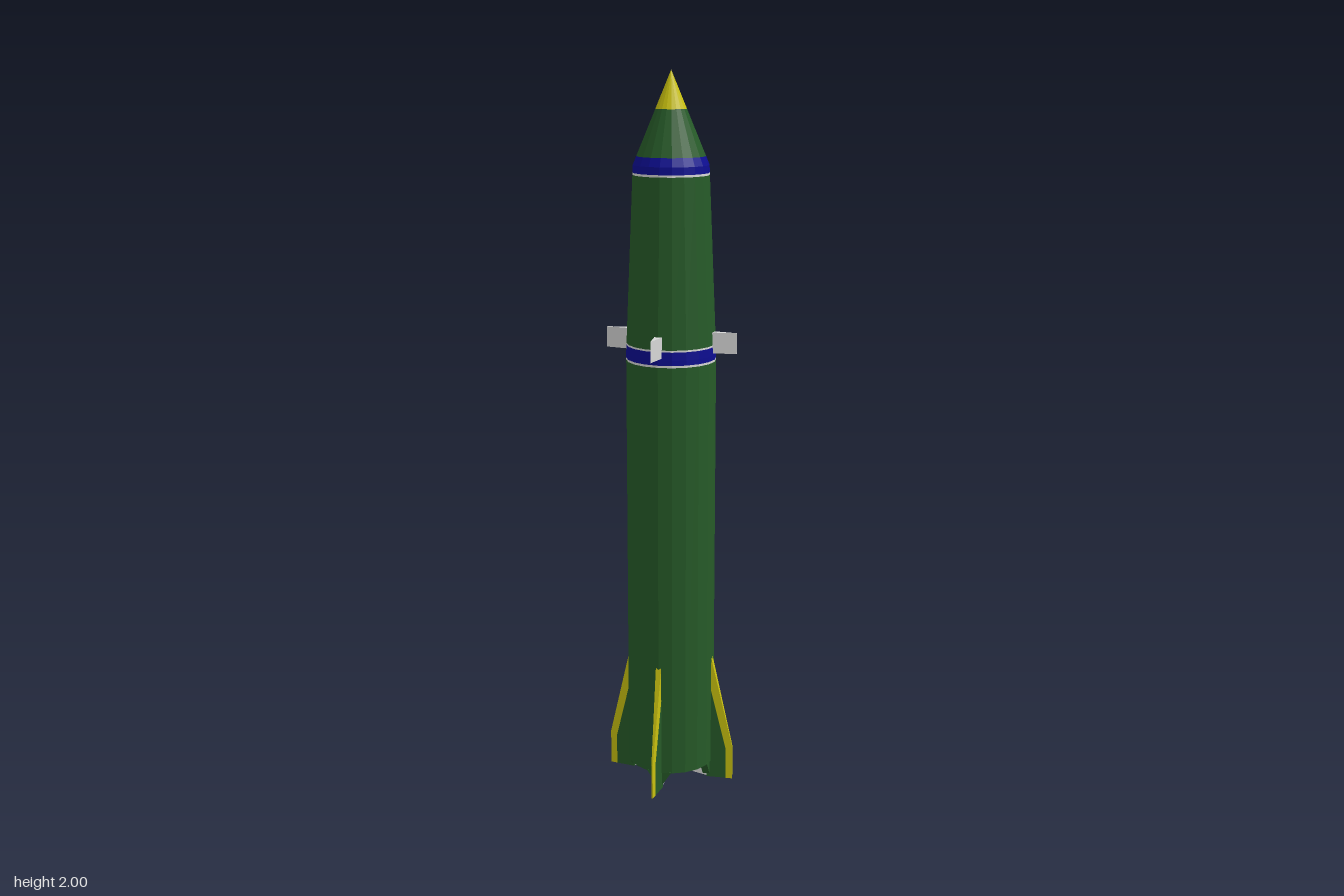
import * as THREE from 'three';

const SIDES = 20;
const mat = (name, color) => {
  const m = new THREE.MeshStandardMaterial({ color });
  m.name = name;
  return m;
};

export function createModel() {
  const green = mat('dark green', 0x265a28);
  const yellow = mat('yellow', 0xc8c010);
  const blue = mat('navy blue', 0x0d0d90);
  const pale = mat('pale grey', 0xd6d6d6);
  const dark = mat('dark grey', 0x2c2e2c);
  const model = new THREE.Group();
  model.name = 'rocket';

  const add = (parent, name, geometry, material) => {
    const mesh = new THREE.Mesh(geometry, material);
    mesh.name = name;
    parent.add(mesh);
    return mesh;
  };

  // Faceted hull: radius follows straight body, tapered shoulder and nose cone
  const radius = (y) => {
    if (y <= 1.25) return 0.123;
    if (y <= 1.755) return THREE.MathUtils.mapLinear(y, 1.25, 1.755, 0.123, 0.102);
    return THREE.MathUtils.mapLinear(y, 1.755, 2, 0.102, 0);
  };
  const section = (name, y0, y1, material) => {
    const g = new THREE.CylinderGeometry(radius(y1), radius(y0), y1 - y0, SIDES, 1, true).toNonIndexed();
    g.computeVertexNormals();
    g.translate(0, (y0 + y1) / 2, 0);
    add(model, name, g, material);
  };
  [
    ['lowerBody', 0.05, 1.23, green],
    ['lowerBandBottomTrim', 1.23, 1.236, pale],
    ['lowerBand', 1.236, 1.25, blue],
    ['lowerBandTaper', 1.25, 1.272, blue],
    ['lowerBandTopTrim', 1.272, 1.277, pale],
    ['upperBody', 1.277, 1.729, green],
    ['upperBandTrim', 1.729, 1.735, pale],
    ['upperBand', 1.735, 1.755, blue],
    ['upperBandTaper', 1.755, 1.778, blue],
    ['noseCone', 1.778, 1.9, green],
    ['noseTip', 1.9, 2, yellow],
  ].forEach((s) => section(...s));

  // Underside: green rim around a dark engine opening
  const rim = add(model, 'baseRim', new THREE.RingGeometry(0.108, 0.123, SIDES), green);
  const base = add(model, 'engineBase', new THREE.CircleGeometry(0.108, SIDES), dark);
  for (const m of [rim, base]) {
    m.rotation.x = Math.PI / 2;
    m.position.y = 0.05;
  }

  // Radial plate: outline in (radius, height), half thickness given by a rule
  const plate = (points, half) => {
    const shape = new THREE.Shape(points.map(([r, y]) => new THREE.Vector2(r, y)));
    const g = new THREE.ExtrudeGeometry(shape, { depth: 2, bevelEnabled: false });
    const p = g.attributes.position;
    for (let i = 0; i < p.count; i++) {
      p.setZ(i, Math.sign(p.getZ(i) - 1) * half(p.getX(i), p.getY(i)));
    }
    g.computeVertexNormals();
    return g;
  };
  const finHalf = (r) => THREE.MathUtils.mapLinear(r, 0.11, 0.185, 0.009, 0.002);
  const canardHalf = (r) => THREE.MathUtils.mapLinear(r, 0.123, 0.185, 0.01, 0.0004);

  const finPanel = plate([[0.11, 0], [0.166, 0], [0.166, 0.09], [0.122, 0.27], [0.11, 0.27]], finHalf);
  const finEdge = plate([[0.166, 0], [0.185, 0], [0.185, 0.1], [0.122, 0.37], [0.122, 0.27], [0.166, 0.09]], finHalf);
  const finFoot = plate([[0.098, 0], [0.119, 0], [0.119, 0.052], [0.098, 0.052]], (r, y) => 0.002 + 0.66 * y);
  const vane = plate([[0.035, 0.022], [0.07, 0.008], [0.11, 0.002], [0.11, 0.05], [0.035, 0.05]], () => 0.007);
  const canard = plate([[0.112, 1.255], [0.185, 1.255], [0.185, 1.312], [0.112, 1.312]], canardHalf);

  // Four identical sets of tail fin, jet vane and forward canard
  for (let i = 0; i < 4; i++) {
    const set = new THREE.Group();
    set.name = 'finSet' + (i + 1);
    set.rotation.y = (i * Math.PI) / 2;
    add(set, 'finPanel', finPanel, green);
    add(set, 'finLeadingEdge', finEdge, yellow);
    add(set, 'finFoot', finFoot, green);
    add(set, 'jetVane', vane, pale);
    add(set, 'canard', canard, pale);
    model.add(set);
  }
  return model;
}
